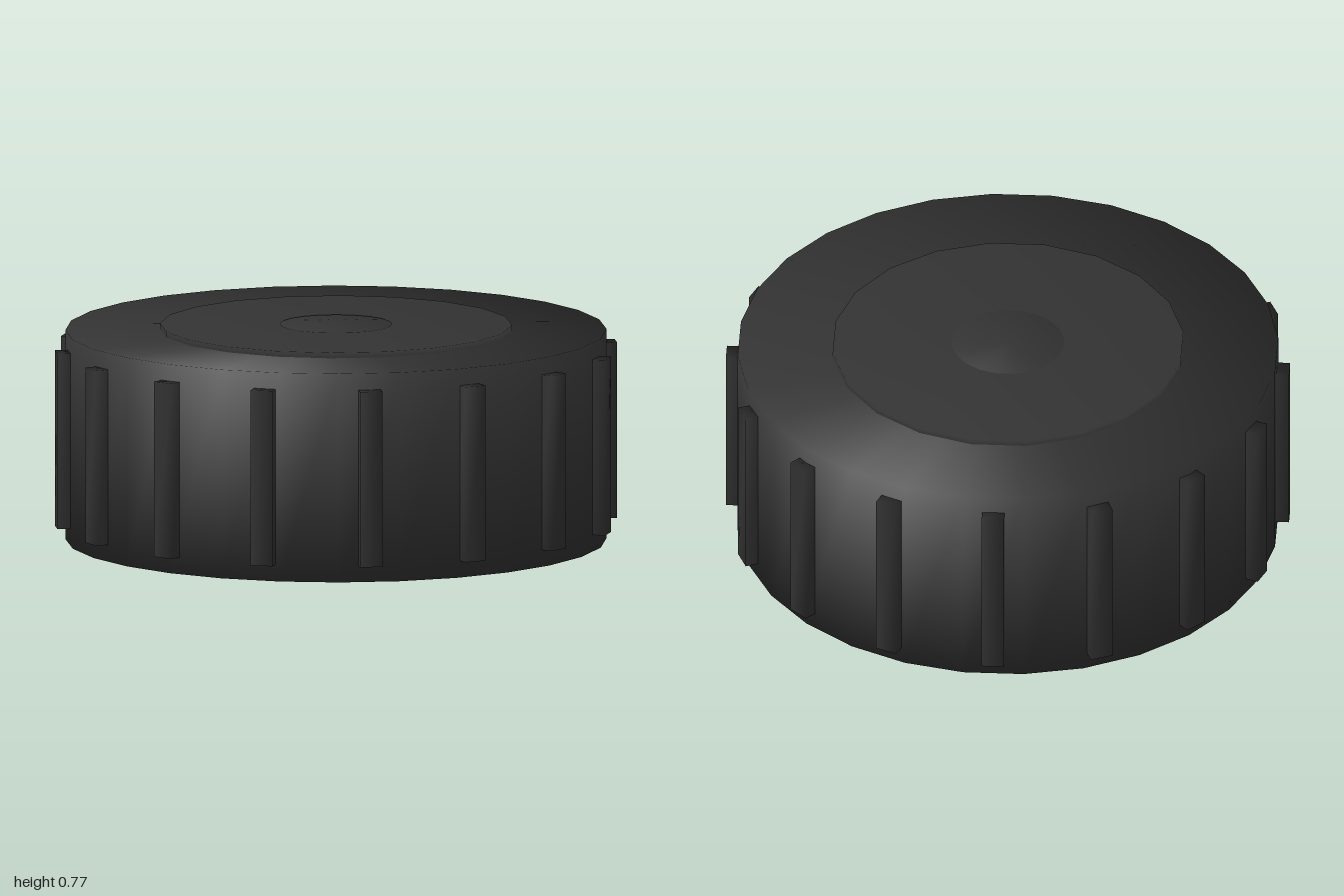
import * as THREE from 'three';
import { mergeVertices } from 'three/addons/utils/BufferGeometryUtils.js';

const material = new THREE.MeshStandardMaterial({ color: 0x333333 });

// Weld corners so that the shading runs smoothly across every edge.
function soften(geometry) {
  geometry.deleteAttribute('normal');
  geometry.deleteAttribute('uv');
  const welded = mergeVertices(geometry, 1e-4);
  welded.computeVertexNormals();
  return welded;
}

function addPart(parent, name, geometry) {
  const mesh = new THREE.Mesh(soften(geometry), material);
  mesh.name = name;
  parent.add(mesh);
  return mesh;
}

// Upright disc between two heights.
function addDisc(parent, name, radius, bottom, top, sides) {
  const disc = addPart(parent, name, new THREE.CylinderGeometry(radius, radius, top - bottom, sides));
  disc.position.y = (bottom + top) / 2;
}

export function createModel() {
  const model = new THREE.Group();
  model.name = 'knob';

  // Solid body with a thin raised plate and centre disc on top
  addDisc(model, 'body', 0.96, 0, 0.75, 28);
  addDisc(model, 'topPlate', 0.625, 0.7, 0.77, 20);
  addDisc(model, 'centreDisc', 0.2, 0.72, 0.771, 20);

  // Grip ribs around the rim
  const ribs = new THREE.Group();
  ribs.name = 'gripRibs';
  const count = 16;
  for (let i = 0; i < count; i++) {
    const angle = (i / count) * Math.PI * 2;
    const rib = addPart(ribs, 'gripRib', new THREE.BoxGeometry(0.08, 0.63, 0.08));
    rib.position.set(Math.sin(angle) * 0.96, 0.375, Math.cos(angle) * 0.96);
    rib.rotation.y = angle;
  }
  model.add(ribs);

  return model;
}
